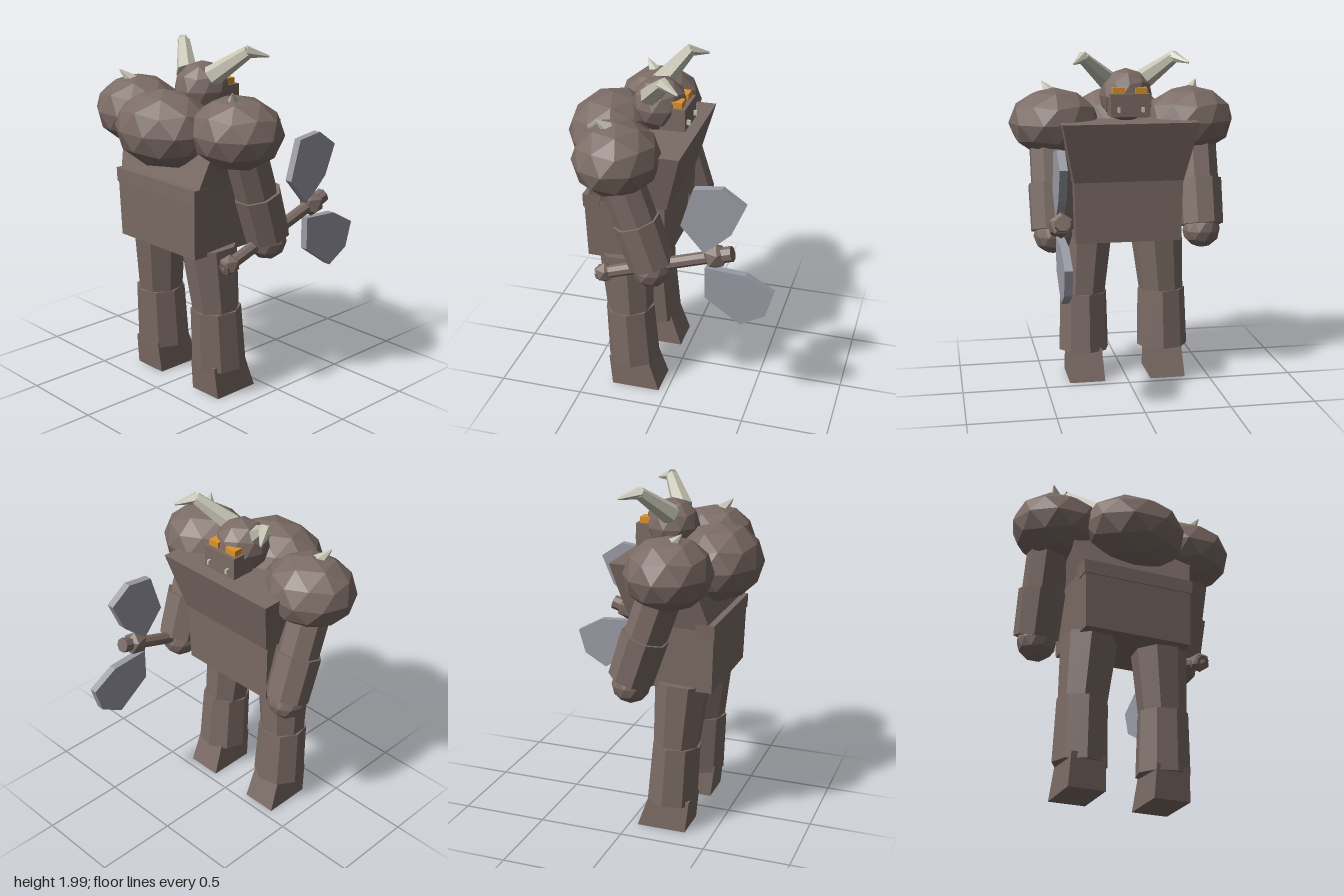
import * as THREE from 'three';

const mat = (name, color) => {
  const m = new THREE.MeshStandardMaterial({ color });
  m.name = name;
  return m;
};

// Faceted shading: split all faces and recompute normals
function facet(geo) {
  const g = geo.index ? geo.toNonIndexed() : geo;
  g.computeVertexNormals();
  return g;
}

function add(parent, name, geo, material) {
  const mesh = new THREE.Mesh(facet(geo), material);
  mesh.name = name;
  parent.add(mesh);
  return mesh;
}

// Low-poly ellipsoid with a vertex at the top
function ball(center, rx, ry, rz, detail = 1) {
  return new THREE.IcosahedronGeometry(1, detail)
    .rotateZ(-0.5536).scale(rx, ry, rz).translate(...center);
}

// Tapered prism running from point a to point b
function limb(a, b, ra, rb, sides = 8) {
  const A = new THREE.Vector3(...a), B = new THREE.Vector3(...b);
  const dir = B.clone().sub(A);
  const geo = new THREE.CylinderGeometry(rb, ra, dir.length(), sides, 1, false, Math.PI / sides);
  const q = new THREE.Quaternion().setFromUnitVectors(new THREE.Vector3(0, 1, 0), dir.normalize());
  return geo.applyQuaternion(q).translate(...A.add(B).multiplyScalar(0.5).toArray());
}

// Tapered block; each end is [y, xMin, xMax, zMin, zMax]
function block(bottom, top) {
  const geo = new THREE.BoxGeometry(1, 1, 1);
  const p = geo.attributes.position;
  for (let i = 0; i < p.count; i++) {
    const e = p.getY(i) < 0 ? bottom : top;
    p.setXYZ(i, p.getX(i) < 0 ? e[1] : e[2], e[0], p.getZ(i) < 0 ? e[3] : e[4]);
  }
  return geo;
}

// Flat polygon in the x-y plane, given thickness around z
function plate(points, z, thickness) {
  const shape = new THREE.Shape(points.map(([x, y]) => new THREE.Vector2(x, y)));
  return new THREE.ExtrudeGeometry(shape, { depth: thickness, bevelEnabled: false })
    .translate(0, 0, z - thickness / 2);
}

export function createModel() {
  const root = new THREE.Group();
  root.name = 'hornedGiant';
  const hide = mat('brown hide', 0x7b6b65);
  const horn = mat('pale horn', 0xc6c4b3);
  const amber = mat('amber eye', 0xdc932c);
  const steel = mat('grey steel', 0x9a9ba5);

  // Torso
  const torso = new THREE.Group();
  torso.name = 'torso';
  root.add(torso);
  add(torso, 'pelvis', block([0.87, -0.475, -0.02, -0.315, 0.315], [1.235, -0.485, -0.01, -0.325, 0.325]), hide);
  add(torso, 'chest', block([1.235, -0.465, 0, -0.325, 0.325], [1.585, -0.36, 0.095, -0.4, 0.4]), hide);
  add(torso, 'backLedge', block([1.19, -0.49, -0.4, -0.33, 0.33], [1.27, -0.49, -0.38, -0.335, 0.335]), hide);
  add(torso, 'hump', ball([-0.41, 1.545, 0], 0.25, 0.22, 0.315), hide);

  // Belly boss: a faceted pyramid on the front of the pelvis
  const rim = [[0, 1.19], [0.18, 1.09], [0.19, 1.06], [0.14, 0.965], [-0.14, 0.965], [-0.19, 1.06], [-0.18, 1.09]];
  const boss = [];
  rim.forEach(([z, y], i) => {
    const [z2, y2] = rim[(i + 1) % rim.length];
    boss.push(0.065, 1.14, 0, -0.015, y2, z2, -0.015, y, z);
  });
  const bossGeo = new THREE.BufferGeometry();
  bossGeo.setAttribute('position', new THREE.Float32BufferAttribute(boss, 3));
  add(torso, 'bellyBoss', bossGeo, hide);

  // Head
  const head = new THREE.Group();
  head.name = 'head';
  root.add(head);
  add(head, 'skull', ball([-0.13, 1.73, 0], 0.157, 0.157, 0.157), hide);
  add(head, 'muzzle', block([1.62, -0.1, 0.047, -0.115, 0.115], [1.75, -0.1, 0.047, -0.115, 0.115]), hide);

  // Paired parts
  for (const s of [1, -1]) {
    const side = s > 0 ? 'right' : 'left';
    const pair = new THREE.Group();
    pair.name = side + 'Side';
    root.add(pair);

    const z0 = Math.min(s * 0.03, s * 0.1), z1 = Math.max(s * 0.03, s * 0.1);
    add(pair, 'eye', block([1.75, -0.05, 0.027, z0, z1], [1.785, -0.05, 0.027, z0, z1]), amber);
    add(pair, 'noseStud', new THREE.BoxGeometry(0.025, 0.028, 0.014).translate(0.055, 1.662, s * 0.07), horn);

    // Bent horn
    const elbow = [-0.03, 1.955, s * 0.265];
    add(pair, 'hornBase', limb([-0.155, 1.81, s * 0.1], elbow, 0.062, 0.036, 6), horn);
    add(pair, 'hornTip', limb([-0.04, 1.957, s * 0.258], [0.068, 1.927, s * 0.33], 0.037, 0.006, 6), horn);

    // Shoulder and spike
    add(pair, 'shoulder', ball([-0.252, 1.565, s * 0.41], 0.245, 0.205, 0.27), hide);
    add(pair, 'shoulderSpike', limb([-0.285, 1.73, s * 0.425], [-0.345, 1.8, s * 0.47], 0.045, 0.003, 6), horn);

    // Arm
    add(pair, 'upperArm', limb([-0.225, 1.47, s * 0.445], [-0.133, 1.2, s * 0.445], 0.122, 0.122), hide);
    add(pair, 'forearm', limb([-0.135, 1.215, s * 0.45], [-0.05, 0.955, s * 0.45], 0.135, 0.13), hide);
    add(pair, 'hand', ball([-0.052, 0.925, s * 0.447], 0.11, 0.11, 0.115), hide);

    // Leg
    add(pair, 'thigh', limb([-0.275, 0.89, s * 0.215], [-0.25, 0.505, s * 0.243], 0.16, 0.135), hide);
    add(pair, 'shin', limb([-0.252, 0.52, s * 0.243], [-0.23, 0.165, s * 0.246], 0.145, 0.155), hide);
    const f0 = Math.min(s * 0.14, s * 0.355), f1 = Math.max(s * 0.14, s * 0.355);
    add(pair, 'foot', block([0, -0.34, -0.05, f0, f1], [0.19, -0.36, -0.115, f0 + 0.01, f1 - 0.01]), hide);
  }

  // Double axe held in the hand at +z
  const axe = new THREE.Group();
  axe.name = 'axe';
  root.add(axe);
  const z = 0.443;
  add(axe, 'handle', limb([-0.38, 0.83, z], [0.37, 1.075, z], 0.036, 0.036), hide);
  add(axe, 'handleEnd', limb([0.31, 1.056, z], [0.41, 1.088, z], 0.044, 0.044), hide);
  add(axe, 'pommel', ball([-0.335, 0.845, z], 0.06, 0.06, 0.06, 0), hide);
  add(axe, 'axeHub', ball([0.315, 1.058, z], 0.075, 0.075, 0.075, 0), hide);
  add(axe, 'upperBlade', plate([[0.255, 1.075], [0.405, 1.215], [0.48, 1.39], [0.35, 1.48], [0.19, 1.46], [0.12, 1.23]], z, 0.045), steel);
  add(axe, 'lowerBlade', plate([[0.26, 0.795], [0.465, 0.65], [0.605, 0.73], [0.65, 0.88], [0.49, 0.97], [0.26, 0.985]], z, 0.045), steel);

  return root;
}
